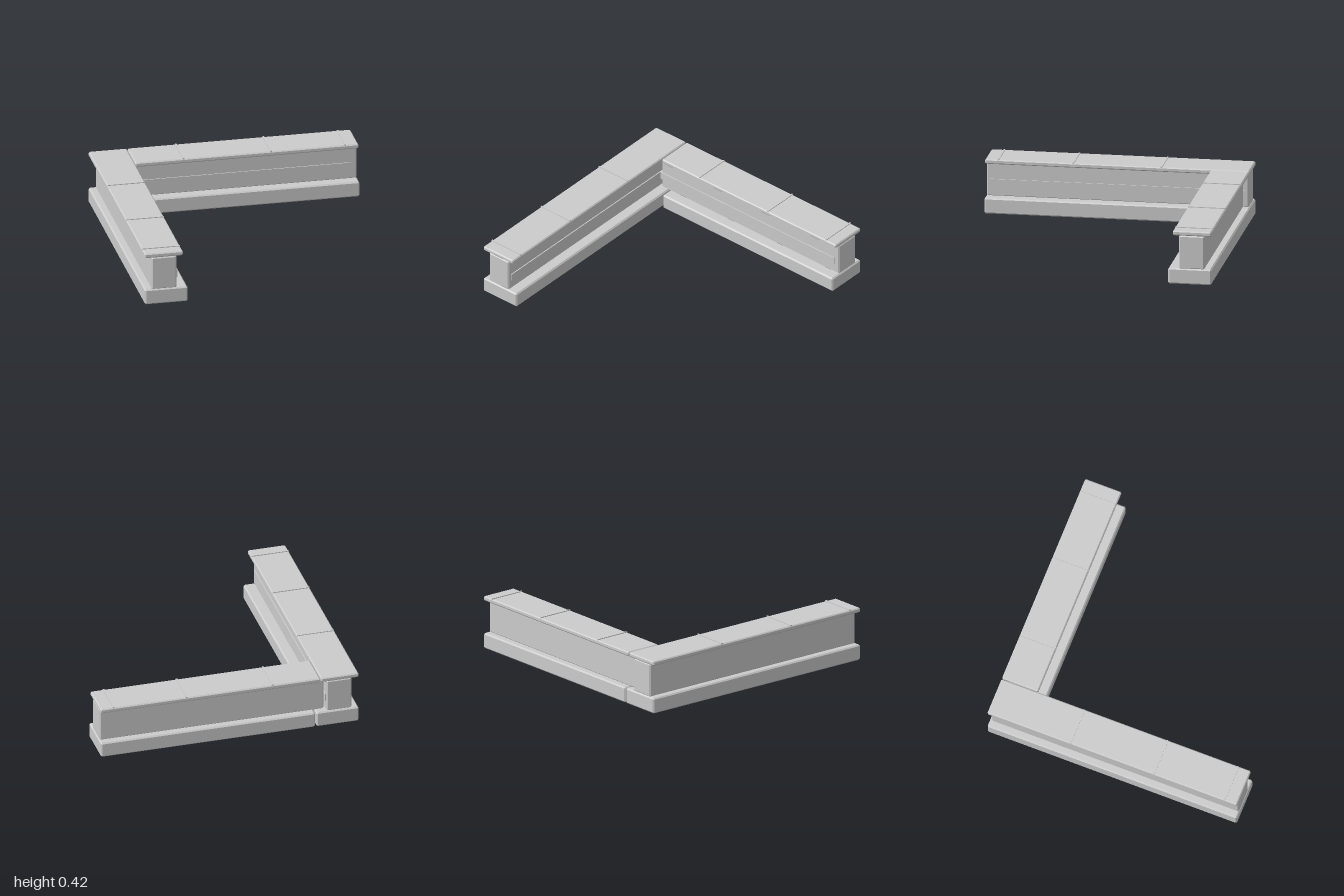
import * as THREE from 'three';
import { ConvexGeometry } from 'three/addons/geometries/ConvexGeometry.js';

const material = new THREE.MeshStandardMaterial({ color: 0xcccccc, flatShading: true });

// Box between two corners with every edge chamfered by c
function chamferBox(name, [x0, x1], [y0, y1], [z0, z1], c) {
  const half = [(x1 - x0) / 2, (y1 - y0) / 2, (z1 - z0) / 2];
  const points = [];
  for (const sx of [-1, 1]) for (const sy of [-1, 1]) for (const sz of [-1, 1]) {
    for (let axis = 0; axis < 3; axis++) {
      const p = half.map((h, i) => (i === axis ? h : h - c));
      points.push(new THREE.Vector3(sx * p[0], sy * p[1], sz * p[2]));
    }
  }
  const mesh = new THREE.Mesh(new ConvexGeometry(points), material);
  mesh.name = name;
  mesh.position.set((x0 + x1) / 2, (y0 + y1) / 2, (z0 + z1) / 2);
  return mesh;
}

function plainBox(name, [x0, x1], [y0, y1], [z0, z1]) {
  const mesh = new THREE.Mesh(new THREE.BoxGeometry(x1 - x0, y1 - y0, z1 - z0), material);
  mesh.name = name;
  mesh.position.set((x0 + x1) / 2, (y0 + y1) / 2, (z0 + z1) / 2);
  return mesh;
}

// One wall run: along = 'x' or 'z'; the spans give each part's extent lengthwise
function wallRun(name, along, spans) {
  const run = new THREE.Group();
  run.name = name;
  const add = (make, part, length, y, across, ...rest) =>
    run.add(along === 'x' ? make(part, length, y, across, ...rest) : make(part, across, y, length, ...rest));

  add(chamferBox, 'plinth', spans.plinth, [0, 0.12], [-1, -0.673], 0.01);
  add(chamferBox, 'wallBody', spans.body, [0.115, 0.375], [-0.947, -0.755], 0.01);
  add(plainBox, 'trimStrip', spans.trim, [0.193, 0.25], [-0.77, -0.747]);
  add(chamferBox, 'capSlab', spans.cap, [0.375, 0.41], [-1, -0.709], 0.008);
  // Raised joints across the cap
  for (const t of [-0.335, 0.333, 0.9]) {
    add(plainBox, 'capJoint', [t - 0.006, t + 0.006], [0.4, 0.416], [-0.997, -0.712]);
  }
  return run;
}

export function createModel() {
  const model = new THREE.Group();
  model.name = 'cornerWall';
  // Side run takes the corner; the back run butts against it with a narrow gap
  model.add(wallRun('sideRun', 'z', {
    plinth: [-1, 1], body: [-0.99, 0.995], trim: [-0.965, 0.97], cap: [-1, 1],
  }));
  model.add(wallRun('backRun', 'x', {
    plinth: [-0.662, 1], body: [-0.743, 0.995], trim: [-0.75, 0.95], cap: [-0.702, 1],
  }));
  return model;
}
